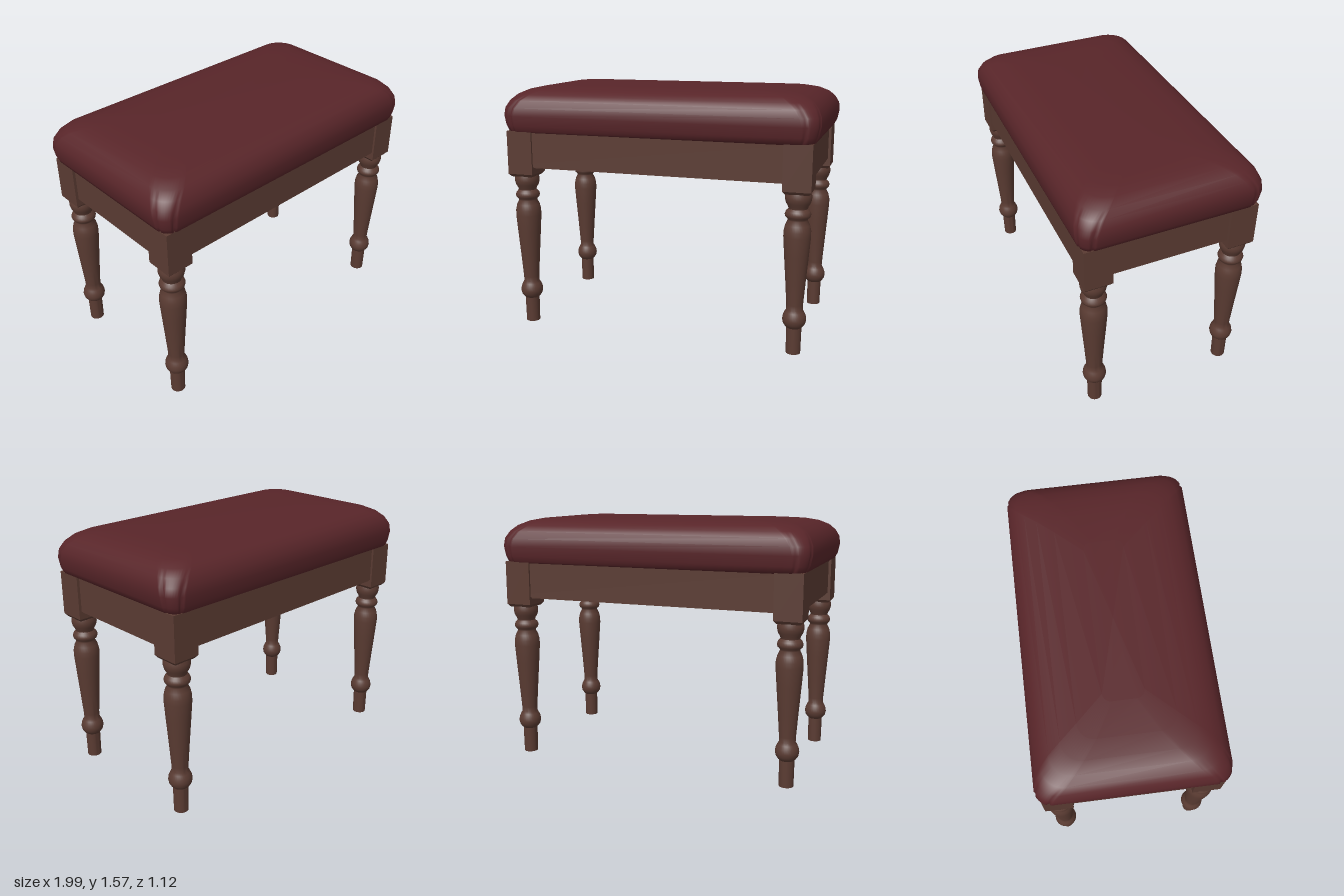
import * as THREE from 'three';
import { toCreasedNormals } from 'three/addons/utils/BufferGeometryUtils.js';

const LEG_X = 0.878, LEG_Z = 0.445;

// Padded seat: stacked rounded rectangles, with tucked pleats at the corners
function cushionGeometry() {
  // y, half width, half depth, corner radius, pleat depth
  const rings = [
    [1.275, 0.94, 0.52, 0.06, 0],
    [1.285, 0.968, 0.54, 0.08, 0.01],
    [1.32, 0.985, 0.551, 0.09, 0.014],
    [1.38, 0.997, 0.56, 0.1, 0.014],
    [1.43, 0.993, 0.556, 0.11, 0.009],
    [1.475, 0.97, 0.536, 0.12, 0.003],
    [1.51, 0.935, 0.503, 0.13, 0],
    [1.537, 0.88, 0.45, 0.13, 0],
    [1.552, 0.81, 0.38, 0.12, 0],
    [1.56, 0.7, 0.28, 0.1, 0],
    [1.565, 0.5, 0.12, 0.05, 0],
  ];
  const arc = 12, n = 4 * (arc + 1), pos = [], idx = [];
  for (const [y, hx, hz, r, pleat] of rings) {
    for (let c = 0; c < 4; c++) {
      const sx = c === 0 || c === 3 ? 1 : -1, sz = c < 2 ? 1 : -1;
      for (let i = 0; i <= arc; i++) {
        const a = (c + i / arc) * Math.PI / 2;
        const fold = i === 2 || i === arc - 2 ? pleat : 0;
        pos.push(sx * (hx - r) + (r - fold) * Math.cos(a), y,
          sz * (hz - r) + (r - fold) * Math.sin(a));
      }
    }
  }
  for (let k = 0; k < rings.length - 1; k++) {
    for (let i = 0; i < n; i++) {
      const a = k * n + i, b = k * n + (i + 1) % n;
      idx.push(a, a + n, b, b, a + n, b + n);
    }
  }
  // Close the underside and the crown
  const top = rings.length * n, last = top - n;
  pos.push(0, 1.567, 0, 0, 1.275, 0);
  for (let i = 0; i < n; i++) {
    const j = (i + 1) % n;
    idx.push(last + i, top, last + j, i, j, top + 1);
  }
  const g = new THREE.BufferGeometry();
  g.setAttribute('position', new THREE.Float32BufferAttribute(pos, 3));
  g.setIndex(idx);
  g.computeVertexNormals();
  return g;
}

// Turned leg profile, from the foot up
function legGeometry() {
  const profile = [
    [0, 0], [0.044, 0], [0.046, 0.165], [0.056, 0.175], [0.067, 0.192],
    [0.072, 0.215], [0.068, 0.24], [0.058, 0.262], [0.049, 0.278], [0.05, 0.31],
    [0.06, 0.45], [0.073, 0.62], [0.081, 0.73], [0.08, 0.765], [0.072, 0.8],
    [0.058, 0.828], [0.06, 0.838], [0.073, 0.85], [0.077, 0.865], [0.071, 0.882],
    [0.056, 0.898], [0.06, 0.912], [0.072, 0.932], [0.078, 0.955], [0.078, 0.975],
    [0.07, 1.0],
  ].map(([r, y]) => new THREE.Vector2(r, y));
  return toCreasedNormals(new THREE.LatheGeometry(profile, 32), 0.7);
}

export function createModel() {
  const wood = new THREE.MeshStandardMaterial({ color: 0x5a3b32 });
  wood.name = 'brown wood';
  const fabric = new THREE.MeshStandardMaterial({ color: 0x582529 });
  fabric.name = 'dark red upholstery';

  const model = new THREE.Group();
  model.name = 'upholsteredStool';
  const add = (name, geometry, material, x, y, z, parent = model) => {
    const mesh = new THREE.Mesh(geometry, material);
    mesh.name = name;
    mesh.position.set(x, y, z);
    parent.add(mesh);
    return mesh;
  };

  add('cushion', cushionGeometry(), fabric, 0, 0, 0);

  // Frame with a flat underside and a slim eased lower edge
  add('apron', new THREE.BoxGeometry(1.89, 0.225, 1.036), wood, 0, 1.1725, 0);
  add('apronLowerEdge', new THREE.BoxGeometry(1.87, 0.012, 1.016), wood, 0, 1.056, 0);

  // Four corner posts on turned legs
  const leg = legGeometry();
  const post = new THREE.BoxGeometry(0.168, 0.275, 0.172);
  const chamfer = new THREE.CylinderGeometry(0.084 * Math.SQRT2, 0.07 * Math.SQRT2, 0.018, 4, 1)
    .rotateY(Math.PI / 4).toNonIndexed();
  chamfer.computeVertexNormals();
  for (const sx of [-1, 1]) {
    for (const sz of [-1, 1]) {
      const corner = new THREE.Group();
      corner.name = (sz > 0 ? 'front' : 'back') + (sx > 0 ? 'Left' : 'Right') + 'Leg';
      corner.position.set(sx * LEG_X, 0, sz * LEG_Z);
      add('turnedLeg', leg, wood, 0, 0, 0, corner);
      add('cornerPost', post, wood, 0, 1.1455, 0, corner);
      add('postChamfer', chamfer, wood, 0, 0.999, 0, corner);
      model.add(corner);
    }
  }
  return model;
}
